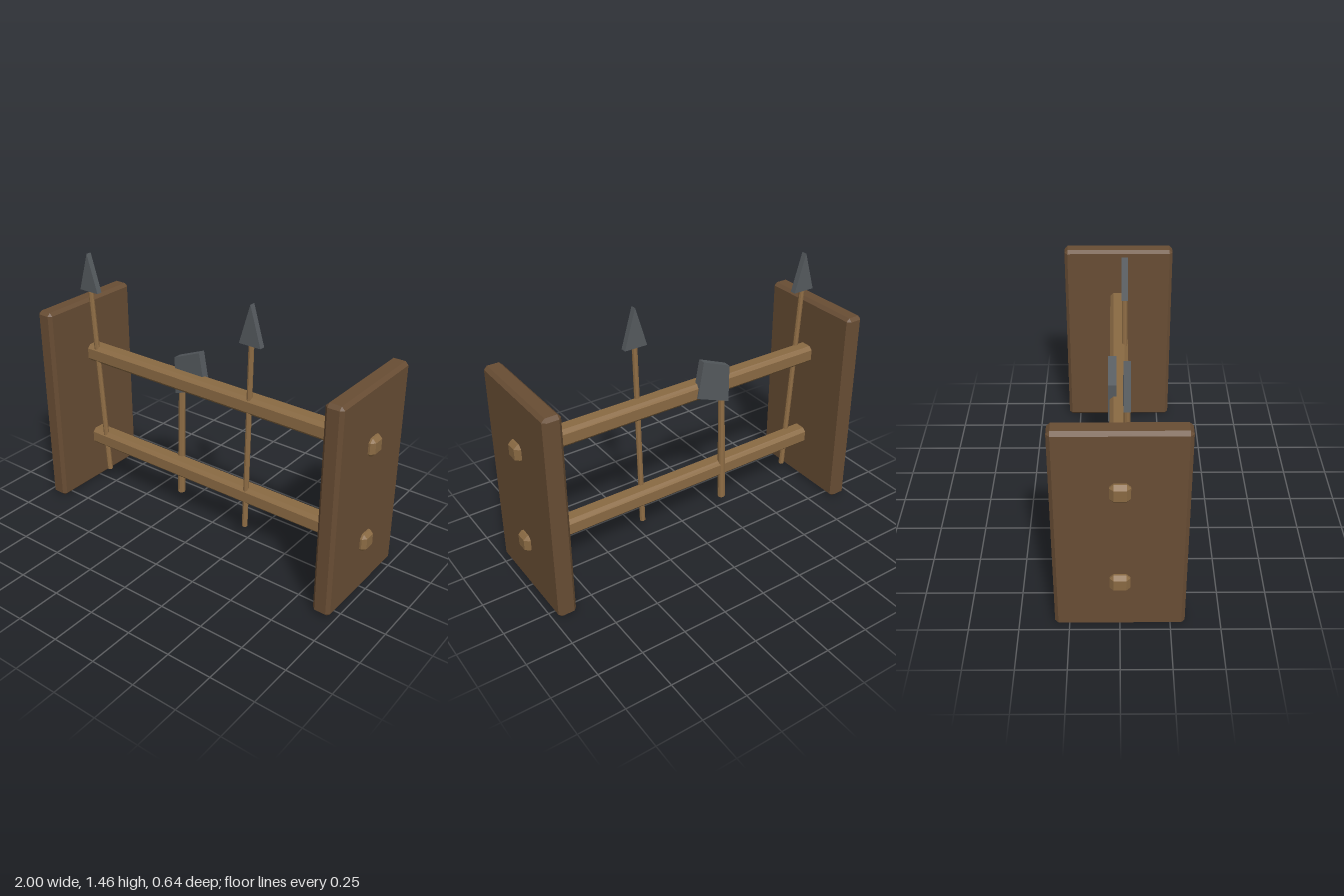
import * as THREE from 'three';
import { ConvexGeometry } from 'three/addons/geometries/ConvexGeometry.js';

const makeMaterial = (name, color) => {
  const m = new THREE.MeshStandardMaterial({ color });
  m.name = name;
  return m;
};

// Box with every edge cut by a flat chamfer c
function chamferBox(w, h, d, c) {
  const x = w / 2, y = h / 2, z = d / 2, points = [];
  for (const sx of [-1, 1]) for (const sy of [-1, 1]) for (const sz of [-1, 1]) {
    points.push(
      new THREE.Vector3(sx * x, sy * (y - c), sz * (z - c)),
      new THREE.Vector3(sx * (x - c), sy * y, sz * (z - c)),
      new THREE.Vector3(sx * (x - c), sy * (y - c), sz * z));
  }
  return new ConvexGeometry(points);
}

// Flat plate from an outline, centred on z
function plate(outline, depth, z) {
  const shape = new THREE.Shape(outline.map(([x, y]) => new THREE.Vector2(x, y)));
  const g = new THREE.ExtrudeGeometry(shape, { depth, bevelEnabled: false });
  return g.translate(0, 0, z - depth / 2);
}

// Slightly tapered pole between two points in a plane of constant z
function pole([x0, y0], [x1, y1], z, rBottom, rTop) {
  const g = new THREE.CylinderGeometry(rTop, rBottom, Math.hypot(x1 - x0, y1 - y0), 8).toNonIndexed();
  g.computeVertexNormals();
  g.rotateZ(-Math.atan2(x1 - x0, y1 - y0));
  return g.translate((x0 + x1) / 2, (y0 + y1) / 2, z);
}

export function createModel() {
  const darkWood = makeMaterial('dark wood', 0x684d34);
  const lightWood = makeMaterial('light wood', 0x8a6a43);
  const shaftWood = makeMaterial('shaft wood', 0x8f6d45);
  const metal = makeMaterial('dark metal', 0x555a5e);

  const rack = new THREE.Group();
  rack.name = 'weaponRack';
  const add = (parent, name, geometry, material) => {
    const mesh = new THREE.Mesh(geometry, material);
    mesh.name = name;
    parent.add(mesh);
    return mesh;
  };

  // End panels
  for (const [side, name] of [[1, 'leftPanel'], [-1, 'rightPanel']]) {
    add(rack, name, chamferBox(0.1, 1.175, 0.645, 0.018), darkWood).position.set(side * 0.92, 0.5875, 0);
  }

  // Rails passing through both panels
  for (const [y, name] of [[0.85, 'upperRail'], [0.298, 'lowerRail']]) {
    add(rack, name, chamferBox(2, 0.1, 0.1, 0.02), lightWood).position.y = y;
  }

  // Spears
  for (const [name, foot, neck] of [
    ['rightSpear', [-0.765, 0.1], [-0.835, 1.235]],
    ['leftSpear', [0.25, 0.1], [0.27, 1.195]],
  ]) {
    const spear = new THREE.Group();
    spear.name = name;
    const [x, y] = neck;
    add(spear, 'spearShaft', pole(foot, neck, 0.031, 0.016, 0.015), shaftWood);
    add(spear, 'spearHead', plate([[x - 0.066, y], [x + 0.066, y], [x, y + 0.22]], 0.033, 0.031), metal);
    rack.add(spear);
  }

  // Axe on the back of the rails
  const axe = new THREE.Group();
  axe.name = 'axe';
  add(axe, 'axeHandle', pole([-0.255, 0.1], [-0.234, 0.9], -0.035, 0.022, 0.018), shaftWood);
  add(axe, 'axeHead',
    plate([[-0.27, 0.745], [-0.063, 0.825], [-0.1, 1.035], [-0.27, 0.965]], 0.044, -0.036), metal);
  rack.add(axe);

  return rack;
}
